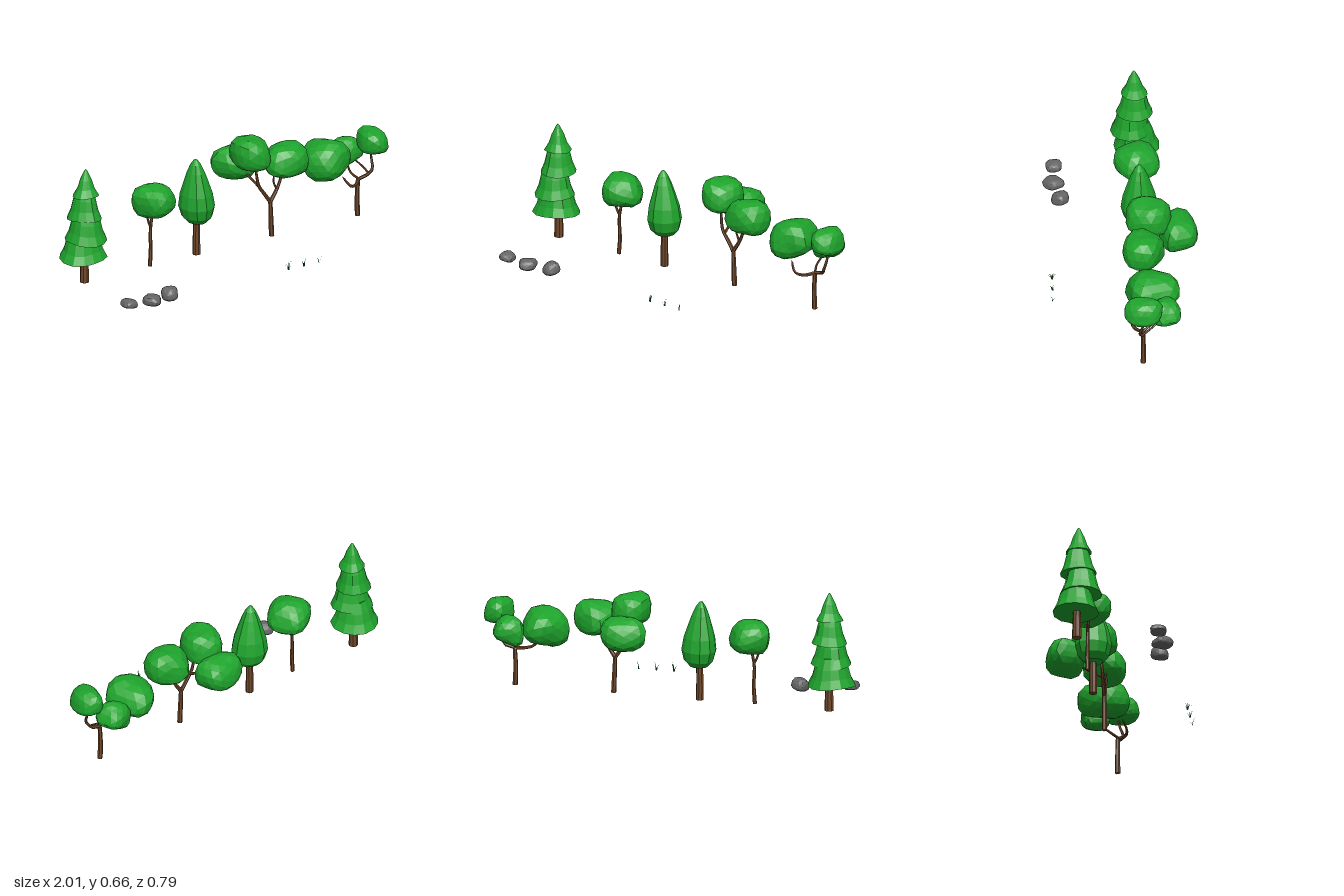
import * as THREE from 'three';

const paint = (color, side = THREE.FrontSide) =>
  new THREE.MeshStandardMaterial({ color, flatShading: true, side });
const LEAF = paint(0x1fa52d), BARK = paint(0x6e4729), STONE = paint(0x666666);
const BLADE = paint(0x14702a, THREE.DoubleSide);

function add(parent, name, geometry, material) {
  geometry.computeVertexNormals();
  const mesh = new THREE.Mesh(geometry, material);
  mesh.name = name;
  parent.add(mesh);
  return mesh;
}

// Applies a rule to every vertex
function reshape(geometry, rule) {
  const p = geometry.attributes.position, v = new THREE.Vector3();
  for (let i = 0; i < p.count; i++) {
    v.fromBufferAttribute(p, i);
    rule(v, i);
    p.setXYZ(i, v.x, v.y, v.z);
  }
  return geometry;
}

// Faceted boulder-like lump with a flattened underside, fitted between two corners
function blob(min, max, { seed = 1, yaw = 0, tilt = 0, flat = 0.6, detail = 2 } = {}) {
  const g = new THREE.IcosahedronGeometry(1, detail);
  reshape(g, v => {
    const { x, y, z } = v, p = 2.7;
    const round = Math.pow(Math.abs(x) ** p + Math.abs(y) ** p + Math.abs(z) ** p, -1 / p);
    const bump = 1 + 0.06 * Math.sin(3 * x + 2 * y + seed) + 0.05 * Math.sin(4 * z - 3 * x + seed * 2.3);
    v.multiplyScalar(round * bump);
    if (v.y < 0) v.y *= flat;
  });
  g.rotateY(yaw).rotateZ(tilt);
  g.computeBoundingBox();
  const a = g.boundingBox.min, s = g.boundingBox.getSize(new THREE.Vector3());
  return reshape(g, v => v.set(
    min[0] + (v.x - a.x) / s.x * (max[0] - min[0]),
    min[1] + (v.y - a.y) / s.y * (max[1] - min[1]),
    min[2] + (v.z - a.z) / s.z * (max[2] - min[2])));
}

// Tapered, capped limb along a smooth path
function limb(points, r0, r1, sides = 6) {
  const path = new THREE.CatmullRomCurve3(points.map(p => new THREE.Vector3(...p)));
  const n = 10, g = new THREE.TubeGeometry(path, n, 1, sides);
  return reshape(g, (v, i) => {
    const ring = Math.floor(i / (sides + 1));
    const own = path.getPointAt(ring / n);
    const radius = ring === 0 || ring === n ? 0 : r0 + (r1 - r0) * (ring - 1) / (n - 2);
    v.sub(own).multiplyScalar(radius);
    // the closing rings collapse to a point almost level with their neighbours
    if (ring === 0) own.lerp(path.getPointAt(1 / n), 0.02);
    if (ring === 1) own.lerp(path.getPointAt(0), 0.98);
    v.add(own);
  });
}

// Turned foliage with a slightly uneven outline
function turned(profile, sides, seed, wave = 0) {
  const g = new THREE.LatheGeometry(profile.map(p => new THREE.Vector2(...p)), sides);
  return reshape(g, v => {
    const a = Math.atan2(v.z, v.x), r = Math.hypot(v.x, v.z);
    const k = 1 + 0.04 * Math.sin(3 * a + seed) + 0.03 * Math.cos(2 * a - seed);
    v.set(v.x * k, v.y + wave * r * Math.sin(2 * a + seed), v.z * k);
  });
}

function pineTree() {
  const g = new THREE.Group();
  g.name = 'pineTree';
  add(g, 'pineTrunk', limb([[-0.866, 0.025, -0.095], [-0.866, 0.1, -0.095], [-0.868, 0.24, -0.095]], 0.025, 0.018, 8), BARK);
  // bottom height, top height, rim radius, top radius, centre x, centre z
  const tiers = [
    [0.165, 0.33, 0.125, 0.065, -0.878, -0.095],
    [0.27, 0.44, 0.109, 0.055, -0.872, -0.07],
    [0.39, 0.56, 0.094, 0.042, -0.868, -0.09],
    [0.515, 0.66, 0.07, 0.008, -0.865, -0.085]];
  tiers.forEach(([y0, y1, r, t, x, z], i) => {
    const h = y1 - y0;
    const profile = [[0, y0 + 0.012], [r, y0], [t + (r - t) * 0.62, y0 + h * 0.28],
      [t + (r - t) * 0.38, y0 + h * 0.6], [t, y1 - h * 0.06], [0, y1]];
    add(g, 'pineTier' + (i + 1), turned(profile, 13, i * 1.7, 0.05), LEAF).position.set(x, 0, z);
  });
  return g;
}

function cypressTree() {
  const g = new THREE.Group();
  g.name = 'cypressTree';
  add(g, 'cypressTrunk', limb([[-0.165, 0.03, -0.1], [-0.166, 0.12, -0.1], [-0.163, 0.25, -0.1]], 0.021, 0.018, 8), BARK);
  const profile = [[0, 0.203], [0.05, 0.213], [0.08, 0.245], [0.094, 0.3], [0.084, 0.37],
    [0.064, 0.435], [0.046, 0.49], [0.027, 0.535], [0.01, 0.56], [0, 0.565]];
  const crown = turned(profile, 11, 2);
  reshape(crown, v => { v.x -= 0.16 + 0.035 * (v.y - 0.2); v.z -= 0.098; });
  add(g, 'cypressCrown', crown, LEAF);
  return g;
}

// Branching tree: limbs are [points, start radius, end radius], crowns are [min, max, options]
function leafyTree(name, limbs, crowns) {
  const g = new THREE.Group();
  g.name = name;
  limbs.forEach(([pts, a, b], i) => add(g, i ? 'branch' + i : 'trunk', limb(pts, a, b), BARK));
  crowns.forEach(([a, b, o], i) => add(g, 'crown' + (i + 1), blob(a, b, o), LEAF));
  return g;
}

// Tuft of bent, pointed blades
function grassTuft(x, z, blades, height) {
  const g = new THREE.Group();
  g.name = 'grassTuft';
  g.position.set(x, 0.035, z);
  for (let i = 0; i < blades; i++) {
    const h = height * (0.75 + 0.25 * Math.cos(i * 2.1)), lean = 0.3 + 0.2 * (i % 3);
    const blade = new THREE.PlaneGeometry(0.007, h, 1, 3).translate(0, h / 2, 0);
    reshape(blade, v => { const t = v.y / h; v.x *= 1 - t; v.z = lean * h * t * t + 0.003; });
    add(g, 'grassBlade', blade, BLADE).rotation.y = i * 2.4 + 0.9;
  }
  return g;
}

export function createModel() {
  const model = new THREE.Group();
  model.name = 'treesRocksAndGrass';
  model.add(pineTree(), cypressTree());

  model.add(leafyTree('smallTree', [
    [[[-0.462, 0.028, -0.09], [-0.456, 0.12, -0.092], [-0.458, 0.24, -0.09], [-0.435, 0.35, -0.095]], 0.011, 0.007],
    [[[-0.457, 0.245, -0.09], [-0.475, 0.285, -0.085], [-0.49, 0.34, -0.08]], 0.007, 0.005],
  ], [
    [[-0.548, 0.3, -0.21], [-0.32, 0.482, 0.03], { seed: 1, yaw: 0.45, tilt: 0.2, flat: 0.8 }],
  ]));

  model.add(leafyTree('forkedTree', [
    [[[0.302, 0.033, -0.1], [0.298, 0.13, -0.1], [0.293, 0.25, -0.1]], 0.014, 0.011],
    [[[0.294, 0.225, -0.1], [0.255, 0.28, -0.1], [0.222, 0.33, -0.1], [0.205, 0.46, -0.11]], 0.011, 0.006],
    [[[0.294, 0.225, -0.1], [0.33, 0.28, -0.1], [0.35, 0.32, -0.1], [0.375, 0.4, -0.1]], 0.011, 0.006],
    [[[0.235, 0.31, -0.1], [0.225, 0.34, -0.16], [0.2, 0.39, -0.26]], 0.008, 0.005],
    [[[0.335, 0.285, -0.1], [0.315, 0.33, -0.1], [0.31, 0.38, -0.09]], 0.006, 0.004],
  ], [
    [[0.094, 0.42, -0.26], [0.297, 0.596, -0.02], { seed: 2, yaw: 0.1 }],
    [[0.067, 0.318, -0.397], [0.322, 0.5, -0.19], { seed: 3, yaw: 0.3, flat: 0.8 }],
    [[0.266, 0.347, -0.22], [0.513, 0.53, 0], { seed: 4.4, yaw: -0.3, tilt: -0.15 }],
  ]));

  model.add(leafyTree('spreadingTree', [
    [[[0.837, 0.033, -0.1], [0.834, 0.13, -0.1], [0.84, 0.25, -0.1]], 0.014, 0.011],
    [[[0.84, 0.235, -0.1], [0.8, 0.225, -0.06], [0.755, 0.235, -0.04], [0.715, 0.29, -0.06]], 0.01, 0.006],
    [[[0.84, 0.235, -0.1], [0.885, 0.245, -0.1], [0.915, 0.28, -0.08], [0.922, 0.34, -0.1], [0.92, 0.41, -0.11]], 0.01, 0.005],
    [[[0.9, 0.26, -0.095], [0.89, 0.285, -0.13], [0.855, 0.33, -0.2]], 0.006, 0.004],
    [[[0.84, 0.24, -0.1], [0.82, 0.265, -0.14], [0.83, 0.32, -0.2]], 0.007, 0.005],
  ], [
    [[0.533, 0.267, -0.293], [0.79, 0.478, -0.008], { seed: 5.5, yaw: 0.5, tilt: 0.25, flat: 0.85 }],
    [[0.752, 0.28, -0.297], [0.93, 0.44, -0.14], { seed: 6.2, yaw: 0.2, tilt: 0.3 }],
    [[0.85, 0.37, -0.2], [1, 0.505, 0.002], { seed: 7, yaw: -0.2 }],
  ]));

  const rocks = [
    [[-0.907, 0.02, 0.292], [-0.826, 0.07, 0.378]],
    [[-0.778, 0.008, 0.28], [-0.68, 0.066, 0.397]],
    [[-0.64, 0, 0.26], [-0.548, 0.073, 0.353]]];
  rocks.forEach(([a, b], i) =>
    add(model, 'rock' + (i + 1), blob(a, b, { seed: i * 2 + 1, yaw: i * 0.6, tilt: 0.15 * (i - 1), flat: 0.55 }), STONE));

  model.add(grassTuft(0.107, 0.362, 7, 0.05), grassTuft(0.203, 0.362, 4, 0.045), grassTuft(0.298, 0.362, 2, 0.042));
  return model;
}
